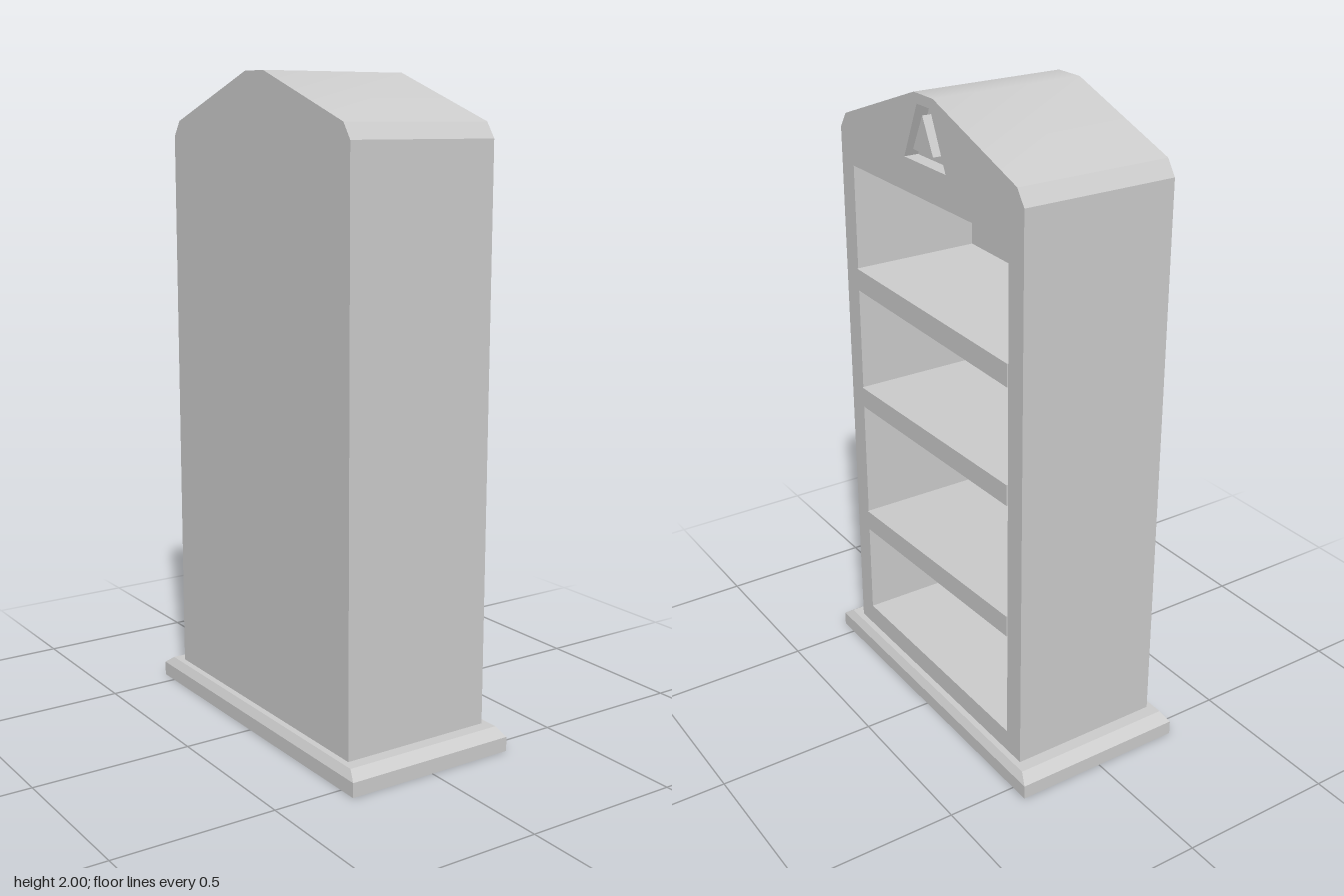
import * as THREE from 'three';
import { toCreasedNormals } from 'three/addons/utils/BufferGeometryUtils.js';

const HALF_DEPTH = 0.245, HALF_WIDTH = 0.485, INNER = 0.415;

export function createModel() {
  const model = new THREE.Group();
  const material = new THREE.MeshStandardMaterial({ color: 0xcccccc });
  const points = (list) => list.map(([u, y]) => new THREE.Vector2(u, y));

  // Extrudes an outline (u = -z, y) along x from x0 to x1, with an optional hole
  function slab(name, outline, x0, x1, hole) {
    const shape = new THREE.Shape(points(outline));
    if (hole) shape.holes.push(new THREE.Path(points(hole)));
    const geo = new THREE.ExtrudeGeometry(shape, { depth: x1 - x0, bevelEnabled: false });
    geo.rotateY(Math.PI / 2).translate(x0, 0, 0);
    const mesh = new THREE.Mesh(toCreasedNormals(geo, 0.5), material);
    mesh.name = name;
    model.add(mesh);
  }

  const rect = (w, y0, y1) => [[-w, y0], [w, y0], [w, y1], [-w, y1]];

  // Plinth: plain foot with a chamfered upper edge
  const foot = new THREE.Mesh(new THREE.BoxGeometry(0.56, 0.045, 1.12), material);
  foot.position.y = 0.0225;
  foot.name = 'plinthFoot';
  model.add(foot);
  const chamferGeo = new THREE.BoxGeometry(0.56, 0.025, 1.12).translate(0, 0.0575, 0);
  const pos = chamferGeo.attributes.position;
  for (let i = 0; i < pos.count; i++) {
    if (pos.getY(i) > 0.0575) {
      pos.setX(i, Math.sign(pos.getX(i)) * 0.265);
      pos.setZ(i, Math.sign(pos.getZ(i)) * 0.525);
    }
  }
  chamferGeo.computeVertexNormals();
  const chamfer = new THREE.Mesh(chamferGeo, material);
  chamfer.name = 'plinthChamfer';
  model.add(chamfer);

  // Cabinet frame and the panel closing its back
  const opening = rect(INNER, 0.14, 1.705);
  slab('cabinetFrame', rect(HALF_WIDTH, 0.07, 1.77), -HALF_DEPTH, HALF_DEPTH, opening);
  slab('backPanel', opening, -HALF_DEPTH, -0.175);

  // Crooked shelves: bottom and top heights at each end
  const shelves = [
    [0.45, 0.487, 0.555, 0.517],
    [0.907, 0.924, 0.99, 0.973],
    [1.308, 1.29, 1.36, 1.378],
  ];
  shelves.forEach(([b0, b1, t1, t0], i) => {
    slab(`shelf${i + 1}`, [[-INNER, b0], [INNER, b1], [INNER, t1], [-INNER, t0]], -0.175, 0.249);
  });

  // Gabled crown with a recess holding a raised triangle
  const gable = [
    [-HALF_WIDTH, 1.77], [HALF_WIDTH, 1.77], [HALF_WIDTH, 1.81], [0.453, 1.857],
    [0.05, 2], [-0.05, 2], [-0.453, 1.857], [-HALF_WIDTH, 1.81],
  ];
  const recess = [[-0.11, 1.805], [0.11, 1.805], [0.035, 1.97], [-0.035, 1.97]];
  slab('crown', gable, -HALF_DEPTH, HALF_DEPTH, recess);
  slab('recessBack', recess, -HALF_DEPTH, 0.2);
  slab('triangleOrnament', [[-0.053, 1.84], [0.053, 1.84], [0, 1.945]], 0.2, 0.249);

  return model;
}
